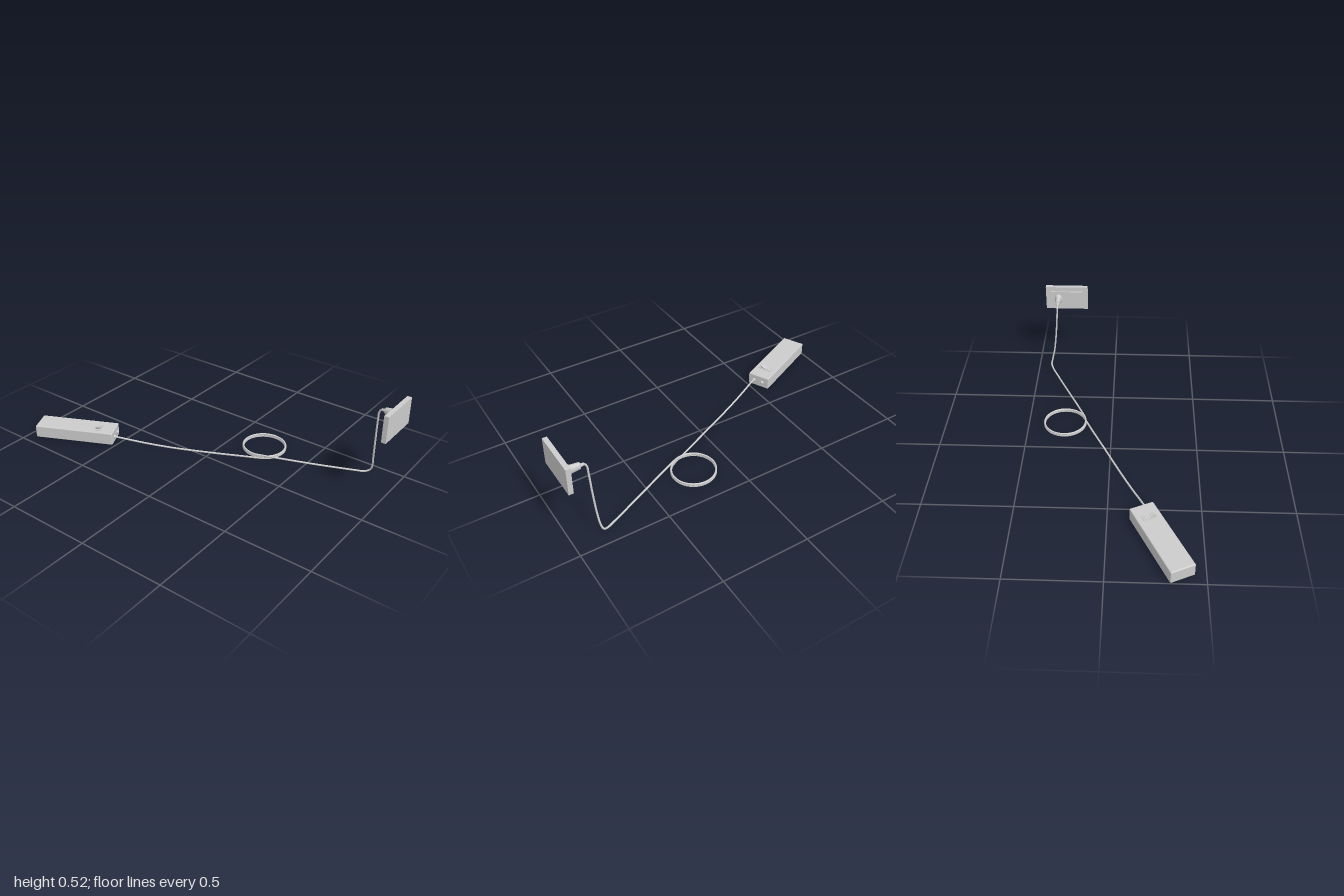
import * as THREE from 'three';
import { RoundedBoxGeometry } from 'three/addons/geometries/RoundedBoxGeometry.js';

const grey = new THREE.MeshStandardMaterial({ color: 0xcccccc });
const V = (x, y, z) => new THREE.Vector3(x, y, z);

function add(parent, name, geometry, x = 0, y = 0, z = 0) {
  const mesh = new THREE.Mesh(geometry, grey);
  mesh.name = name;
  mesh.position.set(x, y, z);
  parent.add(mesh);
  return mesh;
}

// Solid of revolution whose axis runs along +x; profile is [radius, distance]
function latheX(profile, segments = 24) {
  const pts = profile.map(([r, d]) => new THREE.Vector2(r, d));
  return new THREE.LatheGeometry(pts, segments).rotateZ(-Math.PI / 2);
}

// Battery box with rocker switch, cable socket and end knob
function batteryBox() {
  const box = new THREE.Group();
  box.name = 'batteryBox';
  add(box, 'case', new RoundedBoxGeometry(0.476, 0.075, 0.137, 3, 0.006), 0, 0.0395, 0);
  add(box, 'switchPlate', new THREE.BoxGeometry(0.036, 0.006, 0.08), 0.141, 0.077, 0.003);

  const side = new THREE.Shape([[-0.028, 0], [0.028, 0], [0.033, 0.015], [0.024, 0.015], [0, 0.004], [-0.028, 0.002]]
    .map(([a, b]) => new THREE.Vector2(a, b)));
  const rocker = new THREE.ExtrudeGeometry(side, { depth: 0.026, bevelEnabled: false });
  rocker.translate(0, 0, -0.013).rotateY(-Math.PI / 2);
  add(box, 'rocker', rocker, 0.141, 0.079, 0.003);

  const stud = [[0, -0.005], [0.011, -0.005], [0.011, 0.004], [0.009, 0.009], [0.005, 0.012], [0, 0.013]];
  add(box, 'cableSocket', latheX(stud), 0.238, 0.04, 0.03);
  add(box, 'knob', latheX(stud), 0.238, 0.04, -0.027);
  box.position.set(-0.757, 0, 0.28);
  box.rotation.y = 0.445;
  return box;
}

// One cable: box, three-turn coil, floor run, rise to the plug
function cable() {
  const pts = [V(-0.53, 0.041, 0.205), V(-0.5, 0.038, 0.192), V(-0.35, 0.02, 0.122), V(-0.2, 0.01, 0.053),
    V(0, 0.007, -0.04), V(0.16, 0.007, -0.117)];
  const turns = 3, steps = 24, start = 0.43;
  for (let i = 0; i <= turns * steps; i++) {
    const t = i / steps, a = start + t * Math.PI * 2;
    pts.push(V(0.217 + 0.123 * Math.sin(a), 0.008 + 0.0063 * t, -0.28 + 0.123 * Math.cos(a)));
  }
  pts.push(V(0.36, 0.023, -0.207), V(0.55, 0.013, -0.292), V(0.76, 0.007, -0.387), V(0.805, 0.008, -0.407),
    V(0.832, 0.025, -0.419), V(0.844, 0.06, -0.412), V(0.85, 0.13, -0.397), V(0.856, 0.25, -0.383),
    V(0.861, 0.38, -0.373), V(0.864, 0.42, -0.371), V(0.875, 0.439, -0.37), V(0.91, 0.442, -0.37));
  const path = new THREE.CatmullRomCurve3(pts, false, 'centripetal');
  return new THREE.TubeGeometry(path, 500, 0.0055, 10);
}

// Upright panel with stepped back and plug
function panel() {
  const g = new THREE.Group();
  g.name = 'panel';
  add(g, 'frontPlate', new THREE.BoxGeometry(0.026, 0.154, 0.268), 0.987, 0.443, -0.316);
  add(g, 'backStep', new THREE.BoxGeometry(0.012, 0.096, 0.2), 0.97, 0.443, -0.316);
  const plug = latheX([[0, 0], [0.017, 0], [0.02, 0.004], [0.024, 0.04], [0.026, 0.054], [0.033, 0.06], [0.033, 0.07]], 32);
  add(g, 'plug', plug, 0.897, 0.442, -0.37).scale.z = 0.72;
  add(g, 'strainRelief', latheX([[0, 0], [0.007, 0], [0.01, 0.022]], 16), 0.877, 0.442, -0.37);
  return g;
}

export function createModel() {
  const model = new THREE.Group();
  model.name = 'corded panel with battery box';
  model.add(batteryBox(), panel());
  add(model, 'cable', cable());
  return model;
}
